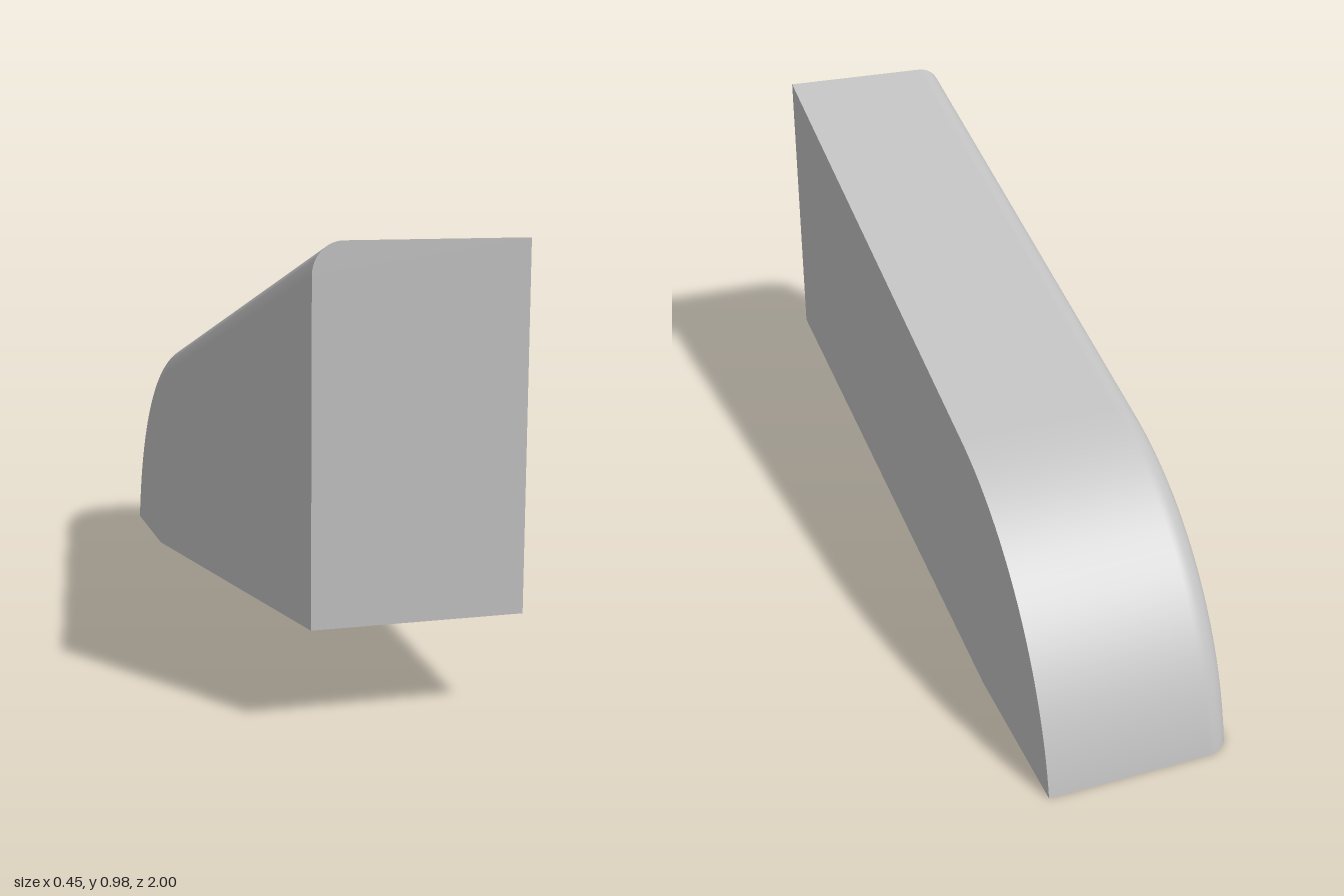
import * as THREE from 'three';

const HALF = 0.225, R_EDGE = 0.063, FRONT = 1, BACK = -1;
const FRONT_TOP = 0.975, FRONT_BOTTOM = 0.21, FOOT = -0.59;

const grey = new THREE.MeshStandardMaterial({ color: 0xc0c0c0 });
grey.name = 'lightGrey';

// Top profile in (z, y): straight slope, then a tangent arc down to the ground.
// Each entry holds the point, its inward normal and the direction of the edge inset.
function topProfile() {
  const slope = 0.265, zt = -0.45;
  const yt = FRONT_TOP - slope * (FRONT - zt);
  const n = new THREE.Vector2(slope, -1).normalize();
  const v = new THREE.Vector2(zt - BACK, yt);
  const radius = -v.lengthSq() / (2 * v.dot(n));
  const centre = new THREE.Vector2(zt, yt).addScaledVector(n, radius);
  const a0 = Math.atan2(-n.y, -n.x);
  const a1 = Math.atan2(-centre.y, BACK - centre.x);
  const rows = [{ p: new THREE.Vector2(FRONT, FRONT_TOP), n, inset: new THREE.Vector2(0, 1 / n.y) }];
  const steps = 32;
  for (let i = 0; i <= steps; i++) {
    const a = a0 + (a1 - a0) * i / steps;
    const normal = new THREE.Vector2(-Math.cos(a), -Math.sin(a));
    const p = centre.clone().addScaledVector(normal, -radius);
    // the last inset stays in the ground plane
    const inset = i === steps ? new THREE.Vector2(1 / normal.x, 0) : normal;
    rows.push({ p, n: normal, inset });
  }
  rows[0].inset.set(0, 1 / n.y);
  return rows;
}

// Flat convex face from corners in counter-clockwise order
function flatFace(name, pts) {
  const tris = [];
  for (let i = 1; i < pts.length - 1; i++) tris.push(pts[0], pts[i], pts[i + 1]);
  const g = new THREE.BufferGeometry().setFromPoints(tris);
  g.computeVertexNormals();
  const mesh = new THREE.Mesh(g, grey);
  mesh.name = name;
  return mesh;
}

export function createModel() {
  const group = new THREE.Group();
  group.name = 'wedgeBlock';
  const V = (x, y, z) => new THREE.Vector3(x, y, z);
  const profile = topProfile();

  // Cross-section: flat top, then a quarter round on the -x edge
  const section = [{ x: HALF, d: 0, a: 0 }];
  for (let j = 0; j <= 12; j++) {
    const a = j / 12 * Math.PI / 2;
    section.push({ x: -HALF + R_EDGE * (1 - Math.sin(a)), d: R_EDGE * (1 - Math.cos(a)), a });
  }
  const grid = profile.map(({ p, inset }) => section.map(({ x, d }) =>
    V(x, p.y + inset.y * d, p.x + inset.x * d)));

  // Smooth top skin with its rounded edge
  const normals = [], index = [], w = section.length;
  profile.forEach(({ n }, i) => section.forEach(({ a }, j) => {
    normals.push(-Math.sin(a), -n.y * Math.cos(a), -n.x * Math.cos(a));
    if (i < profile.length - 1 && j < w - 1) {
      const k = i * w + j;
      index.push(k, k + w, k + 1, k + w, k + w + 1, k + 1);
    }
  }));
  const skin = new THREE.BufferGeometry().setFromPoints(grid.flat());
  skin.setAttribute('normal', new THREE.Float32BufferAttribute(normals, 3));
  skin.setIndex(index);
  const top = new THREE.Mesh(skin, grey);
  top.name = 'curvedTop';
  group.add(top);

  // Sides, following the skin's two borders
  const outline = (x, j) => [V(x, FRONT_BOTTOM, FRONT), V(x, 0, FOOT), ...grid.map(r => r[j]).reverse()];
  group.add(flatFace('leftSide', outline(HALF, 0)));
  group.add(flatFace('rightSide', outline(-HALF, w - 1).reverse()));

  // Front face, ground strip and sloped underside
  group.add(flatFace('frontFace', [...grid[0], V(-HALF, FRONT_BOTTOM, FRONT), V(HALF, FRONT_BOTTOM, FRONT)]));
  group.add(flatFace('foot', [...grid[grid.length - 1], V(-HALF, 0, FOOT), V(HALF, 0, FOOT)].reverse()));
  group.add(flatFace('underside', [
    V(HALF, 0, FOOT), V(HALF, FRONT_BOTTOM, FRONT), V(-HALF, FRONT_BOTTOM, FRONT), V(-HALF, 0, FOOT)]));
  return group;
}
